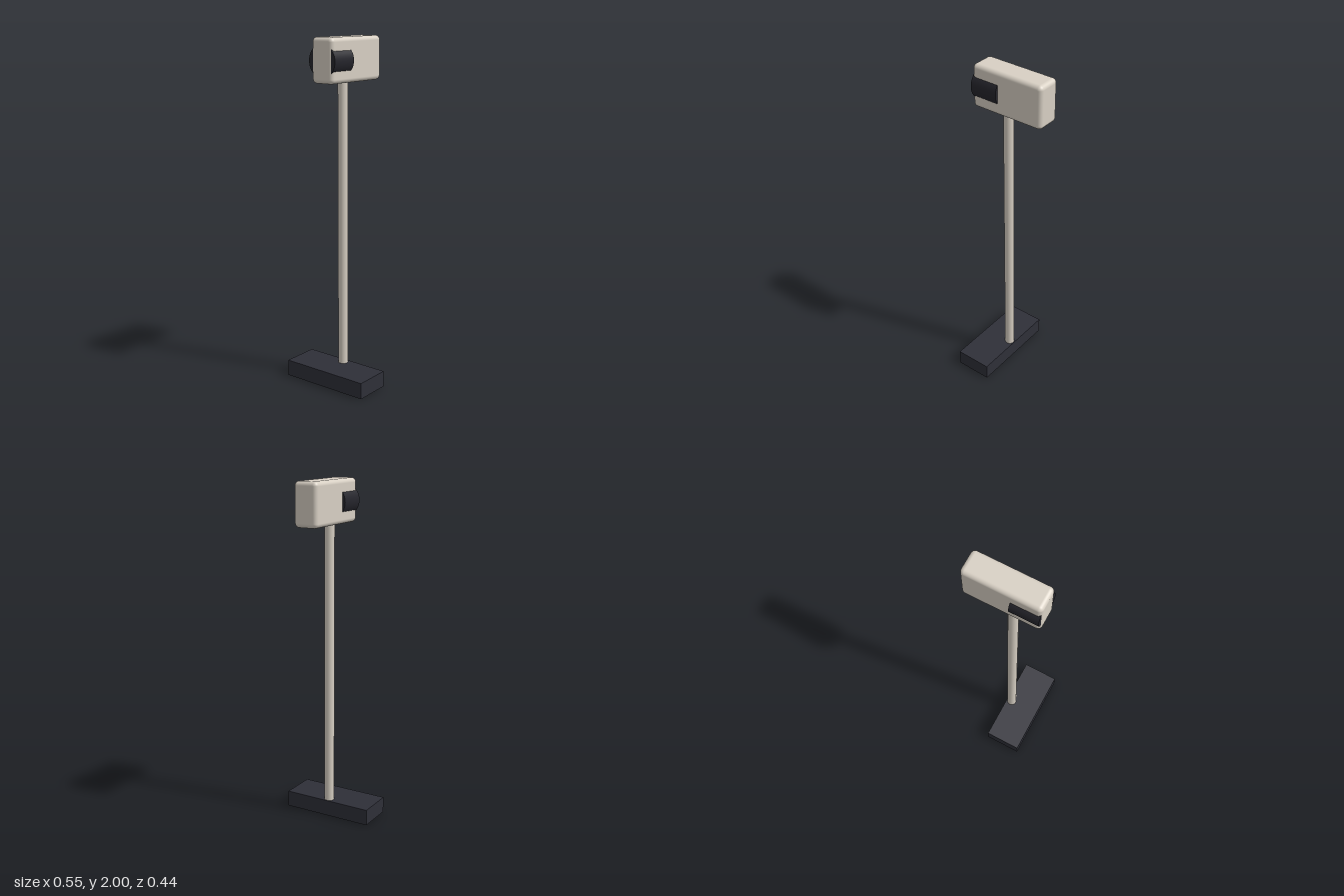
import * as THREE from 'three';
import { RoundedBoxGeometry } from 'three/addons/geometries/RoundedBoxGeometry.js';

const material = (name, color) => {
  const m = new THREE.MeshStandardMaterial({ color });
  m.name = name;
  return m;
};

export function createModel() {
  const model = new THREE.Group();
  model.name = 'postMountedHead';

  const ivory = material('warm ivory', 0xd8d0c4);
  const charcoal = material('charcoal', 0x2e2f38);
  const black = material('soft black', 0x25252c);

  const add = (name, geometry, mat, x, y, z) => {
    const mesh = new THREE.Mesh(geometry, mat);
    mesh.name = name;
    mesh.position.set(x, y, z);
    model.add(mesh);
    return mesh;
  };

  // Flat foot, set towards the front
  add('base', new THREE.BoxGeometry(0.546, 0.095, 0.218), charcoal, 0, 0.0475, 0.113);

  // Slender post, rising into the underside of the head
  add('post', new THREE.CylinderGeometry(0.029, 0.029, 1.69, 24), ivory, 0, 0.925, 0.037);

  // Rounded head reaching backwards over the post
  add('head', new RoundedBoxGeometry(0.144, 0.248, 0.445, 5, 0.025), ivory, 0, 1.876, 0);

  // Horizontal drum bulging out of both sides of the head
  const drum = add('drum', new THREE.CylinderGeometry(0.09, 0.09, 0.164, 40), black, 0, 1.874, 0.136);
  drum.rotation.x = Math.PI / 2;

  return model;
}
